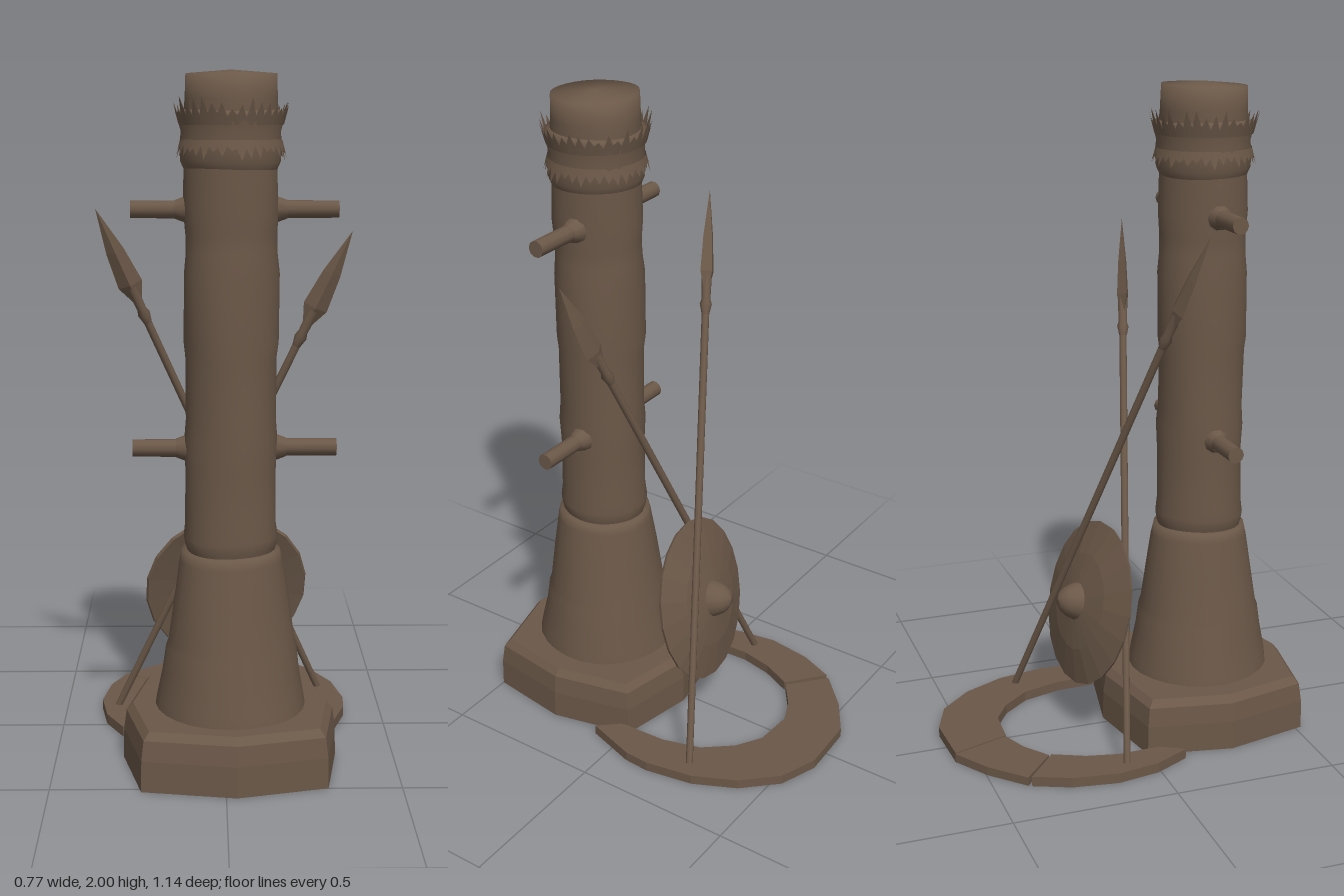
import * as THREE from 'three';
import { mergeVertices } from 'three/addons/utils/BufferGeometryUtils.js';

const brown = new THREE.MeshStandardMaterial({ color: 0x6b5848, side: THREE.DoubleSide });
const CX = 0.017, CZ = 0.265; // column axis

function add(parent, name, geometry) {
  const mesh = new THREE.Mesh(geometry, brown);
  mesh.name = name;
  parent.add(mesh);
  return mesh;
}

function lathe(points, sides) {
  return new THREE.LatheGeometry(points.map(([r, y]) => new THREE.Vector2(r, y)), sides);
}

function facet(geometry) {
  const g = geometry.toNonIndexed();
  g.computeVertexNormals();
  return g;
}

// Smooth, slightly uneven surface of revolution
function uneven(points, sides, amount, topTilt = 0) {
  let g = lathe(points, sides);
  g.deleteAttribute('uv');
  g.deleteAttribute('normal');
  g = mergeVertices(g, 1e-4);
  const p = g.attributes.position;
  for (let i = 0; i < p.count; i++) {
    const x = p.getX(i), y = p.getY(i), z = p.getZ(i), a = Math.atan2(x, z);
    const k = 1 + amount * (Math.sin(3 * a + y * 7) + 0.6 * Math.sin(5 * a - y * 13));
    const dy = y > 1.95 ? -topTilt * z : 0.25 * amount * Math.sin(2 * a + y * 9);
    p.setXYZ(i, x * k, y + dy, z * k);
  }
  g.computeVertexNormals();
  return g;
}

// Loops of [x, y, z] joined by flat faces
function loft(loops, capLast) {
  const v = [], n = loops[0].length;
  for (let j = 0; j + 1 < loops.length; j++) {
    for (let i = 0; i < n; i++) {
      const k = (i + 1) % n, A = loops[j], B = loops[j + 1];
      v.push(...A[i], ...A[k], ...B[k], ...A[i], ...B[k], ...B[i]);
    }
  }
  if (capLast) {
    const L = loops[loops.length - 1];
    for (let i = 1; i + 1 < n; i++) v.push(...L[0], ...L[i], ...L[i + 1]);
  }
  const g = new THREE.BufferGeometry();
  g.setAttribute('position', new THREE.Float32BufferAttribute(v, 3));
  g.computeVertexNormals();
  return g;
}

// Ragged hide edge: straight on one side, torn points on the other
function fringe(r0, y0, r1, y1, seed) {
  let s = seed;
  const rand = () => (s = (s * 16807) % 2147483647) / 2147483647;
  const n = 72, inner = [], outer = [];
  for (let i = 0; i < n; i++) {
    const a = (i / n) * Math.PI * 2;
    const t = i % 2 ? 0.25 + 0.2 * rand() : 0.55 + 0.5 * rand();
    const r = r0 + (r1 - r0) * t;
    inner.push([Math.sin(a) * r0, y0, Math.cos(a) * r0]);
    outer.push([Math.sin(a) * r, y0 + (y1 - y0) * t, Math.cos(a) * r]);
  }
  return y1 > y0 ? loft([inner, outer]) : loft([outer, inner]);
}

function makeSpear(name, tip, foot) {
  const spear = new THREE.Group();
  spear.name = name;
  const dir = tip.clone().sub(foot), L = dir.length();
  add(spear, 'spearShaft', lathe([[0, 0], [0.011, 0], [0.012, L - 0.37], [0, L - 0.36]], 8));
  add(spear, 'spearSocket', lathe([[0.012, L - 0.38], [0.019, L - 0.35], [0.014, L - 0.335], [0.016, L - 0.26]], 8));
  const blade = facet(lathe([[0.012, L - 0.31], [0.037, L - 0.25], [0.027, L - 0.14], [0, L]], 4).scale(1, 1, 0.5));
  add(spear, 'spearBlade', blade);
  spear.position.copy(foot);
  spear.quaternion.setFromUnitVectors(new THREE.Vector3(0, 1, 0), dir.normalize());
  return spear;
}

export function createModel() {
  const model = new THREE.Group();
  model.name = 'totemPost';

  // Hollow eight-sided plinth with a bevelled top edge
  const plan = [[-0.3, 0.26], [-0.24, 0.52], [0.03, 0.567], [0.29, 0.5], [0.328, 0.25], [0.27, 0], [0.03, -0.05], [-0.25, 0]];
  const ring = (y, k) => plan.map(([x, z]) => [CX + (x - CX) * k, y, CZ + (z - CZ) * k]);
  add(model, 'plinth', loft([ring(0, 1), ring(0.09, 0.995), ring(0.148, 0.97), ring(0.17, 0.91)], true));

  // Post parts share one axis
  const post = new THREE.Group();
  post.name = 'post';
  post.position.set(CX, 0, CZ);
  model.add(post);
  add(post, 'skirt', uneven([[0.222, 0.16], [0.216, 0.2], [0.2, 0.28], [0.191, 0.35], [0.184, 0.37], [0.166, 0.5],
    [0.149, 0.61], [0.142, 0.64], [0.115, 0.642]], 24, 0.01));
  add(post, 'trunk', uneven([[0.12, 0.62], [0.131, 0.65], [0.136, 0.68], [0.131, 0.72], [0.13, 0.88], [0.134, 0.96], [0.129, 1.02],
    [0.13, 1.2], [0.135, 1.24], [0.135, 1.44], [0.129, 1.5], [0.129, 1.55], [0.134, 1.62], [0.131, 1.72], [0.132, 1.88],
    [0.129, 1.92], [0.127, 1.99], [0.0001, 2.0]], 28, 0.012, 0.03));
  add(post, 'hideBand', uneven([[0.131, 1.73], [0.14, 1.75], [0.143, 1.79], [0.139, 1.83], [0.147, 1.86], [0.147, 1.885],
    [0.13, 1.89]], 28, 0.01));
  add(post, 'upperFringe', fringe(0.146, 1.85, 0.166, 1.925, 11));
  add(post, 'lowerFringe', fringe(0.142, 1.81, 0.156, 1.755, 37));

  // Climbing pegs, two on each side
  for (const y of [1.617, 0.937]) {
    for (const [side, end] of [[-1, -0.265], [1, 0.32]]) {
      const start = CX + side * 0.1, len = Math.abs(end - start);
      const z = CZ - 0.005 - side * 0.006;
      const peg = add(model, 'peg', new THREE.CylinderGeometry(0.025, 0.026, len, 10));
      peg.position.set((start + end) / 2, y, z);
      peg.rotation.z = -side * Math.PI / 2;
      const collar = add(model, 'pegCollar', new THREE.CylinderGeometry(0.027, 0.042, 0.04, 10, 1, true));
      collar.position.set(CX + side * 0.138, y, z);
      collar.rotation.z = -side * Math.PI / 2;
    }
  }

  // Crossed spears leaning on the back of the post
  const V = (x, y, z) => new THREE.Vector3(x, y, z);
  model.add(makeSpear('rightSpear', V(-0.372, 1.612, 0.13), V(0.31, 0.03, -0.262)));
  model.add(makeSpear('leftSpear', V(0.371, 1.548, 0.135), V(-0.332, 0.03, -0.098)));

  // Round shield with a central boss
  const shield = new THREE.Group();
  shield.name = 'shield';
  shield.position.set(0.01, 0.415, -0.1);
  shield.quaternion.setFromUnitVectors(V(0, 1, 0), V(-0.134, 0.263, -0.955).normalize());
  model.add(shield);
  add(shield, 'shieldDisc', facet(lathe([[0, 0.025], [0.25, -0.004], [0.255, 0.006], [0.15, 0.036], [0, 0.06]], 20)));
  add(shield, 'shieldBoss', lathe([[0.06, 0.045], [0.052, 0.07], [0.04, 0.09], [0.022, 0.106], [0, 0.112]], 14));

  // Flat open ring on the ground, made of three slabs
  const slabs = [
    [[-0.31, 0.1], [-0.365, -0.01], [-0.386, -0.14], [-0.365, -0.28], [-0.318, -0.39], [-0.205, -0.295],
      [-0.25, -0.2], [-0.272, -0.1], [-0.268, 0.03]],
    [[-0.312, -0.4], [-0.21, -0.497], [-0.1, -0.567], [-0.04, -0.392], [-0.12, -0.36], [-0.2, -0.302]],
    [[-0.1, -0.567], [0.08, -0.575], [0.2, -0.53], [0.295, -0.43], [0.358, -0.3], [0.385, -0.15], [0.38, -0.07], [0.33, 0.086],
      [0.272, 0.02], [0.265, -0.13], [0.23, -0.25], [0.16, -0.335], [0.08, -0.385], [-0.04, -0.392]],
  ];
  slabs.forEach((pts, i) => {
    const shape = new THREE.Shape(pts.map(([x, z]) => new THREE.Vector2(x, -z)));
    const g = new THREE.ExtrudeGeometry(shape, { depth: i === 1 ? 0.027 : 0.031, bevelEnabled: false });
    add(model, 'groundRing', g.rotateX(-Math.PI / 2));
  });

  return model;
}
